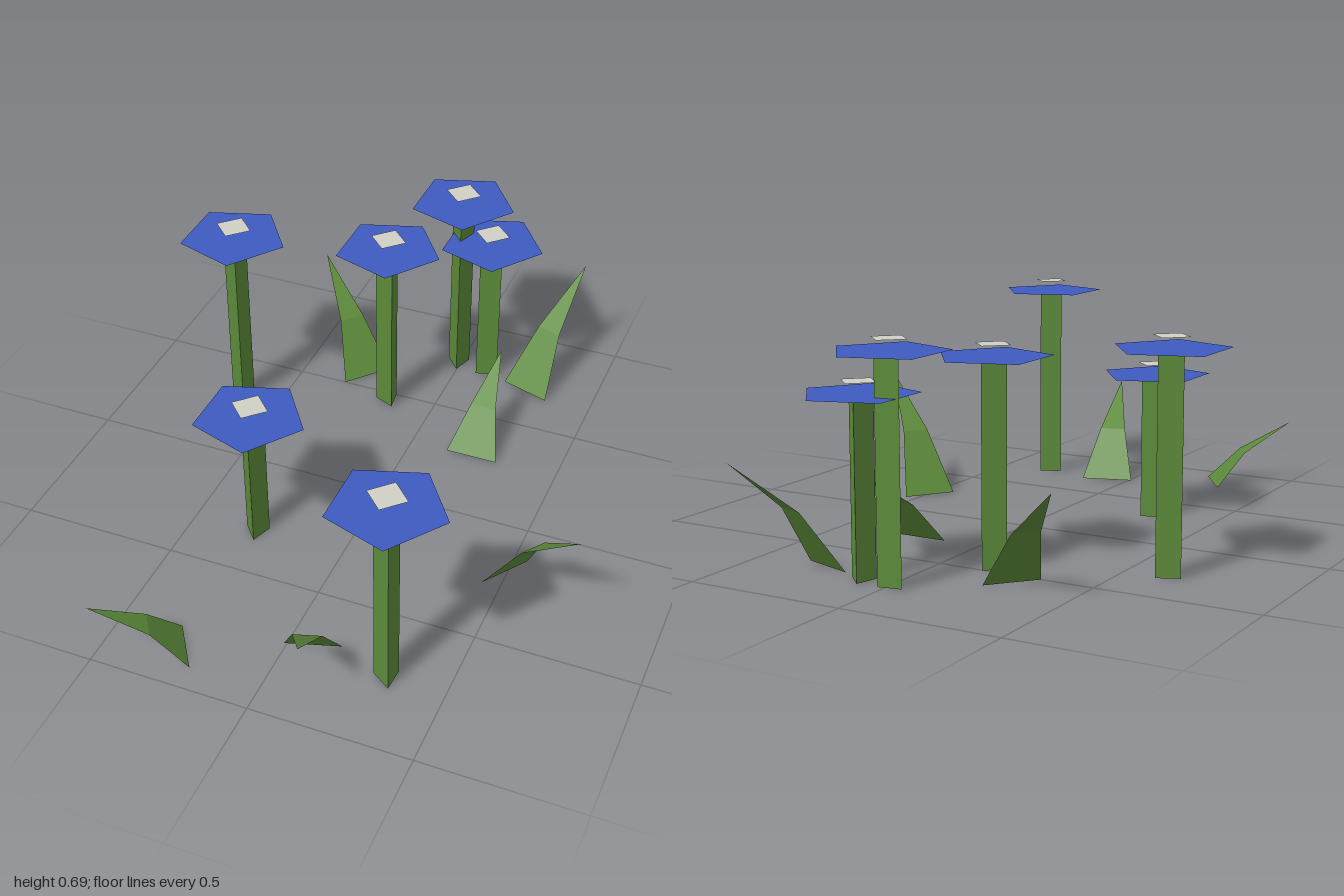
import * as THREE from 'three';

const flat = (name, color) => Object.assign(
  new THREE.MeshStandardMaterial({ color, side: THREE.DoubleSide, flatShading: true }), { name });

export function createModel() {
  const green = flat('leafGreen', 0x5c8a3a);
  const blue = flat('petalBlue', 0x3e5ac0);
  const cream = flat('centreCream', 0xd0d0c6);
  const model = new THREE.Group();
  model.name = 'flowerPatch';

  const add = (parent, name, geometry, material, y = 0) => {
    const mesh = new THREE.Mesh(geometry, material);
    mesh.name = name;
    mesh.position.y = y;
    parent.add(mesh);
    return mesh;
  };

  // Flowers: x, z, stem height, stem turn in degrees
  const flowers = [
    [-0.63, -0.295, 0.65, 24],
    [-0.16, -0.465, 0.615, 37],
    [-0.01, -0.76, 0.658, 11],
    [0.10, -0.75, 0.53, 75],
    [-0.29, 0.32, 0.46, 11],
    [0.32, 0.745, 0.65, 26],
  ];
  const petalGeometry = new THREE.CircleGeometry(0.175, 5).rotateX(-Math.PI / 2);
  const centreGeometry = new THREE.CircleGeometry(0.06, 4).rotateX(-Math.PI / 2);
  for (const [x, z, h, turn] of flowers) {
    const flower = new THREE.Group();
    flower.name = 'flower';
    flower.position.set(x, 0, z);
    const stem = add(flower, 'stem', new THREE.CylinderGeometry(0.042, 0.042, h, 3, 1, true), green, h / 2);
    stem.rotation.y = THREE.MathUtils.degToRad(turn);
    add(flower, 'petals', petalGeometry, blue, h);
    add(flower, 'flowerCentre', centreGeometry, cream, h + 0.035);
    model.add(flower);
  }

  // Grass blades: base x, base z, tip x, tip z, tip height
  const blades = [
    [-0.278, -0.565, -0.515, -0.77, 0.325],
    [0.263, -0.686, 0.365, -1.0, 0.355],
    [0.21, -0.28, 0.21, -0.56, 0.245],
    [0.49, 0.205, 0.765, 0.40, 0.375],
    [0.073, 0.705, 0.165, 1.0, 0.30],
    [-0.268, 0.85, -0.49, 1.0, 0.21],
  ];
  for (const [bx, bz, tx, tz, h] of blades) {
    const dx = tx - bx, dz = tz - bz, len = Math.hypot(dx, dz);
    // Point at fraction t along the ground, fraction v of the height, offset sideways by w
    const at = (t, v, w) => [bx + dx * t - dz / len * w, h * v, bz + dz * t + dx / len * w];
    const l0 = at(0, 0, 0.086), r0 = at(0, 0, -0.086);
    const l1 = at(0.38, 0.53, 0.043), r1 = at(0.38, 0.53, -0.043);
    const tip = at(1, 1, 0);
    const geometry = new THREE.BufferGeometry();
    const corners = [l0, l1, r1, l0, r1, r0, l1, tip, r1].flat();
    geometry.setAttribute('position', new THREE.Float32BufferAttribute(corners, 3));
    geometry.computeVertexNormals();
    add(model, 'grassBlade', geometry, green);
  }
  return model;
}
